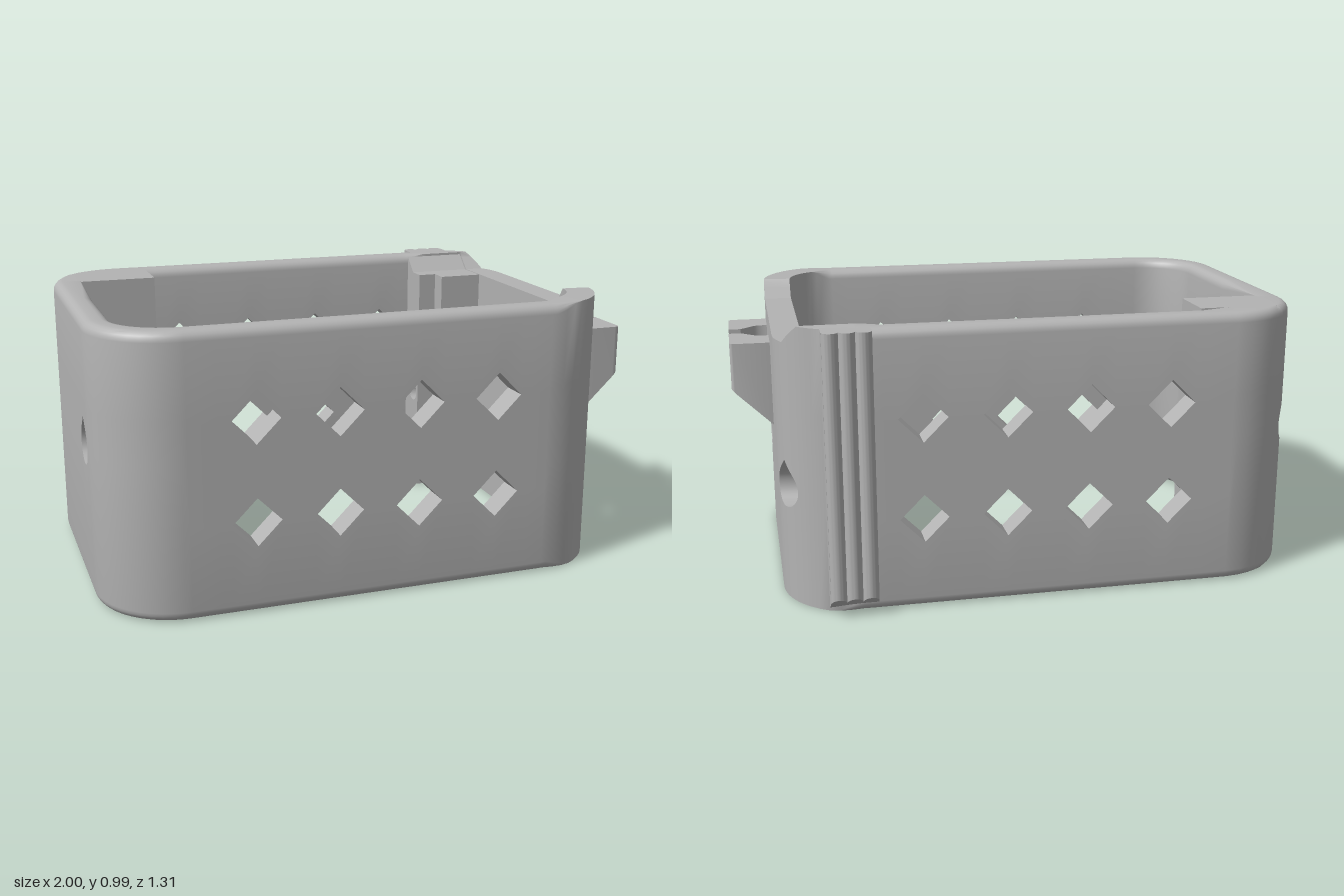
import * as THREE from 'three';
import { toCreasedNormals } from 'three/addons/utils/BufferGeometryUtils.js';

const H = 0.99, R = 0.28, WALL = 0.1, FILLET = 0.035;
const X0 = -1, X1 = 0.855, Z0 = -0.61, Z1 = 0.65;
const clamp = THREE.MathUtils.clamp;
const diamondX = [-0.49, -0.2, 0.09, 0.38], diamondY = [0.325, 0.68], DIAMOND = 0.085;
const HOLE_R = 0.07, SMALL_R = 0.037, HOLE_Z = [0.3, -0.43], LEFT_Y = 0.41, RIGHT_Y = 0.545;

// Lower and upper edge of a teardrop hole, d away from its axis
function teardrop(y, r, d) {
  d = Math.min(Math.abs(d), r);
  const c = Math.sqrt(r * r - d * d);
  return [y - c, d < r * Math.SQRT1_2 ? y + r * Math.SQRT2 - d : y + c];
}

// Height of the rim, lowered along the +x wall
function rimHeight(x, z) {
  if (x < 0.6) return H;
  return H - 0.065 * clamp(Math.min((0.4 - z) / 0.07, (z + 0.52) / 0.07), 0, 1);
}

// One wall station: outer point, inner point, hole intervals, edge rounding
function station(x, z, nx, nz) {
  let ix = x - nx * WALL, iz = z - nz * WALL;
  if (z < Z0 + R) {
    ix = clamp(x, X0 + WALL, X1 - WALL);
    iz = clamp(z, Z0 + WALL, Z1 - WALL);
  }
  let holes;
  if (Math.abs(nz) > 0.999) {
    const d = Math.min(...diamondX.map(c => Math.abs(x - c)));
    const h = Math.max(0, DIAMOND - d);
    holes = diamondY.map(y => [y - h, y + h]);
  } else {
    const y = x < 0 ? RIGHT_Y : LEFT_Y;
    const c = HOLE_Z.find(v => Math.abs(z - v) < HOLE_R - 1e-5);
    const h = c === undefined || Math.abs(nx) < 0.4 ? [y, y] : teardrop(y, HOLE_R, z - c);
    holes = [h, [0.7, 0.7]];
  }
  const f = FILLET * clamp((0.7 - x) / 0.1, 0, 1);
  const byBlock = z < -0.3 && (x < -0.62 || x > 0.51);
  return { x, z, ix, iz, holes, top: rimHeight(x, z), fo: f, fi: byBlock ? 0 : f };
}

// Stations counter-clockwise around the body
function stations() {
  const list = [];
  const holeSamples = c => Array.from({ length: 17 }, (_, k) => c + HOLE_R * Math.cos(k * Math.PI / 16));
  const xs = [X0 + R, X1 - R, -0.62, 0.51];
  diamondX.forEach(c => xs.push(c - DIAMOND, c, c + DIAMOND));
  xs.sort((a, b) => a - b);
  const zs = [Z1 - R, Z0 + R, 0.33, 0, ...holeSamples(HOLE_Z[0])].sort((a, b) => b - a);
  const corner = (cx, cz, start) => {
    const angles = Array.from({ length: 11 }, (_, k) => start + (k + 0.5) / 11 * Math.PI / 2);
    const extra = cz < 0 ? [...holeSamples(HOLE_Z[1]), -0.45, -0.52] : [0.4];
    extra.forEach(z => {
      const a = Math.asin((cz - z) / R);
      angles.push(cx > 0 ? a : Math.PI - a);
    });
    angles.filter(a => a > start + 0.01 && a < start + Math.PI / 2 - 0.01).sort((a, b) => a - b)
      .forEach(a => {
        const nx = Math.cos(a), nz = -Math.sin(a);
        list.push(station(cx + R * nx, cz + R * nz, nx, nz));
      });
  };
  xs.forEach(x => list.push(station(x, Z1, 0, 1)));
  corner(X1 - R, Z1 - R, -Math.PI / 2);
  zs.forEach(z => list.push(station(X1, z, 1, 0)));
  corner(X1 - R, Z0 + R, 0);
  [...xs].reverse().forEach(x => list.push(station(x, Z0, 0, -1)));
  corner(X0 + R, Z0 + R, Math.PI / 2);
  [...zs].reverse().forEach(z => list.push(station(X0, z, -1, 0)));
  corner(X0 + R, Z1 - R, Math.PI);
  return list;
}

// Pairs of points whose strips between stations form the surface
function strips(s) {
  const len = Math.hypot(s.ix - s.x, s.iz - s.z);
  const at = (d, y) => new THREE.Vector3(s.x + (s.ix - s.x) * d / len, y, s.z + (s.iz - s.z) * d / len);
  const [[l1, h1], [l2, h2]] = s.holes;
  const out = [];
  const add = (a, b) => out.push([a, b]);
  const rim = [], base = [], N = 5;
  for (let k = 0; k <= N; k++) {
    const a = k / N * Math.PI / 2, c = 1 - Math.cos(a), n = 1 - Math.sin(a);
    rim.push(at(s.fo * c, s.top - s.fo * n));
    base.push(at(len - s.fi * c, s.fi * n));
  }
  for (let k = 0; k <= N; k++) {
    const a = k / N * Math.PI / 2, c = 1 - Math.sin(a), n = 1 - Math.cos(a);
    rim.push(at(len - s.fi * c, s.top - s.fi * n));
    base.push(at(s.fo * c, s.fo * n));
  }
  for (const chain of [rim, base]) for (let k = 1; k < chain.length; k++) add(chain[k - 1], chain[k]);
  add(at(0, s.fo), at(0, l1));
  add(at(0, h1), at(0, l2));
  add(at(0, h2), at(0, s.top - s.fo));
  add(at(len, s.top - s.fi), at(len, h2));
  add(at(len, l2), at(len, h1));
  add(at(len, l1), at(len, s.fi));
  for (const [lo, hi] of s.holes) {
    add(at(0, lo), at(len, lo));
    add(at(len, hi), at(0, hi));
  }
  return out;
}

function bodyGeometry() {
  const st = stations(), rows = st.map(strips), pos = [];
  const tri = (a, b, c) => {
    const area = b.clone().sub(a).cross(c.clone().sub(a)).length();
    if (area > 1e-8) pos.push(...a.toArray(), ...b.toArray(), ...c.toArray());
  };
  rows.forEach((row, i) => {
    const j = (i + 1) % rows.length, first = row.length - 4;
    row.forEach(([p, q], k) => {
      if (k >= first) {
        const h = (k - first) >> 1;
        const open = n => st[n].holes[h][1] - st[n].holes[h][0] > 1e-6;
        if (!open(i) && !open(j)) return;
      }
      const [pj, qj] = rows[j][k];
      tri(p, pj, qj);
      tri(p, qj, q);
    });
  });
  const g = new THREE.BufferGeometry();
  g.setAttribute('position', new THREE.Float32BufferAttribute(pos, 3));
  return toCreasedNormals(g, 0.6);
}

// Block with a small teardrop screw hole along x; profile is [z, y]
function blockGeometry(profile, xa, xb, holeY) {
  const shape = new THREE.Shape(profile.map(([z, y]) => new THREE.Vector2(-z, y)));
  const hole = new THREE.Path();
  hole.absarc(-HOLE_Z[1], holeY, SMALL_R, Math.PI * 0.75, Math.PI * 2.25, false);
  hole.lineTo(-HOLE_Z[1], holeY + SMALL_R * Math.SQRT2);
  shape.holes.push(hole);
  const g = new THREE.ExtrudeGeometry(shape, { depth: xb - xa, bevelEnabled: false, curveSegments: 16 });
  return g.rotateY(Math.PI / 2).translate(xa, 0, 0);
}

// Plan shape raised from y0 to y1, with its foot cut on a slope
function raised(shape, y0, y1, slope) {
  const g = new THREE.ExtrudeGeometry(shape, { depth: y1 - y0, bevelEnabled: false, curveSegments: 8 });
  g.rotateX(-Math.PI / 2).translate(0, y0, 0);
  const p = g.attributes.position;
  for (let i = 0; i < p.count; i++) {
    if (p.getY(i) < y0 + 1e-4) p.setY(i, y0 + Math.max(0, slope(p.getX(i), p.getZ(i))));
  }
  return toCreasedNormals(g, 0.6);
}

export function createModel() {
  const group = new THREE.Group();
  const grey = new THREE.MeshStandardMaterial({ color: 0xb3b3b3 });
  grey.name = 'grey plastic';
  const add = (name, geometry) => {
    const m = new THREE.Mesh(geometry, grey);
    m.name = name;
    group.add(m);
  };
  add('body', bodyGeometry());

  // Corner screw blocks
  add('rightCornerBlock', blockGeometry([[-0.51, 0], [-0.32, 0], [-0.32, H], [-0.51, H]], -0.9, -0.62, RIGHT_Y));
  const stepped = z => [[-0.51, 0], [z, 0], [z, 0.925], [-0.45, 0.925], [-0.51, 0.981]];
  add('leftCornerBlock', blockGeometry(stepped(-0.31), 0.58, 0.75, LEFT_Y));
  add('leftCornerStep', blockGeometry(stepped(-0.38), 0.51, 0.58, LEFT_Y));

  // Three grip ridges on the back corner
  const ridges = new THREE.Shape();
  ridges.moveTo(0.71, 0.56);
  ridges.lineTo(0.71, 0.63);
  for (let k = 0; k < 3; k++) ridges.absarc(0.682 - k * 0.055, 0.63, 0.0275, 0, Math.PI, false);
  ridges.lineTo(0.545, 0.56);
  add('gripRidges', raised(ridges, 0, H, (x, z) => (-z - 0.575) * 0.85));

  // Pair of clip jaws around a slot
  for (const side of [1, -1]) {
    const P = (x, d) => [x, -(0.1825 + side * d)];
    const jaw = new THREE.Shape();
    jaw.moveTo(...P(0.85, 0.2175));
    jaw.lineTo(...P(0.98, 0.2175));
    jaw.quadraticCurveTo(...P(1, 0.2175), ...P(1, 0.1975));
    jaw.lineTo(...P(1, 0.0375));
    jaw.lineTo(...P(0.955, 0.0375));
    jaw.lineTo(...P(0.91, 0.08));
    jaw.quadraticCurveTo(...P(0.89, 0.098), ...P(0.85, 0.09));
    add(side > 0 ? 'frontClipJaw' : 'backClipJaw', raised(jaw, 0.515, 0.832, x => x - X1));
  }
  return group;
}
